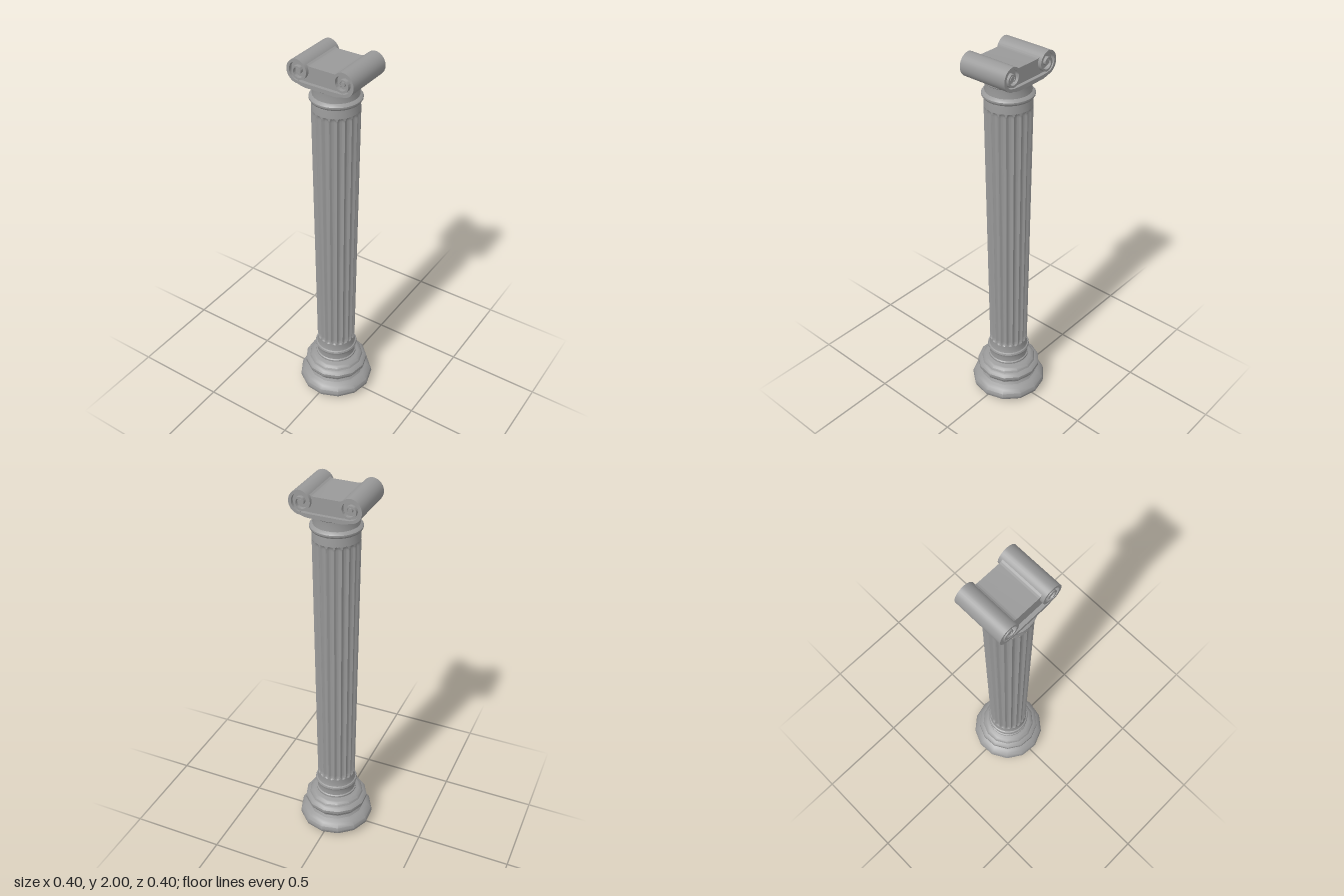
import * as THREE from 'three';
import { toCreasedNormals } from 'three/addons/utils/BufferGeometryUtils.js';

const material = new THREE.MeshStandardMaterial({ color: 0x999999 });

function addMesh(group, name, geometry, crease = 0.6) {
  const mesh = new THREE.Mesh(toCreasedNormals(geometry, crease), material);
  mesh.name = name;
  group.add(mesh);
  return mesh;
}

// Profile is a list of [radius, height], bottom to top
const lathe = (profile, sides) =>
  new THREE.LatheGeometry(profile.map(([r, y]) => new THREE.Vector2(r, y)), sides, Math.PI);

const extrude = (shape, depth) => {
  const geometry = new THREE.ExtrudeGeometry(shape, { depth, bevelEnabled: false, curveSegments: 20 });
  return geometry.translate(0, 0, -depth / 2);
};

// Thirteen-sided base whose corners are spaced a little unevenly
function unevenBase(profile) {
  const geometry = lathe(profile, 13);
  const pos = geometry.attributes.position;
  for (let i = 0; i < pos.count; i++) {
    const x = pos.getX(i), z = pos.getZ(i), r = Math.hypot(x, z);
    let angle = Math.atan2(x, -z);
    if (angle < 0) angle += 2 * Math.PI;
    angle += 0.087 * Math.sin(angle / 2);
    pos.setXYZ(i, r * Math.sin(angle), pos.getY(i), -r * Math.cos(angle));
  }
  return geometry;
}

// Shaft with rounded-end flutes, widening slightly toward the top
function flutedShaft() {
  const bottom = 0.33, top = 1.742, flutes = 20, perFlute = 8, arch = 0.022;
  const ends = [0, 0.003, 0.006, 0.012, 0.018, 0.026];
  const heights = [
    ...ends.map((d) => bottom + d), 0.7, 1.05, 1.4,
    ...ends.map((d) => top - d).reverse(),
  ];
  const radiusAt = (y) => 0.102 + 0.014 * (y - bottom) / (top - bottom);
  const geometry = lathe(heights.map((y) => [radiusAt(y), y]), flutes * perFlute);
  const pos = geometry.attributes.position;
  for (let i = 0; i < pos.count; i++) {
    const x = pos.getX(i), y = pos.getY(i), z = pos.getZ(i);
    const turn = (Math.atan2(x, z) / (2 * Math.PI) + 1) * flutes;
    const across = Math.abs((turn % 1) - 0.5) / 0.4;
    const along = Math.max(0, 1 - Math.min(y - bottom, top - y) / arch);
    const hollow = Math.sqrt(Math.max(0, 1 - across * across - along * along));
    const scale = 1 - 0.01 * hollow / radiusAt(y);
    pos.setXYZ(i, x * scale, y, z * scale);
  }
  return geometry;
}

const SCROLL = { x: 0.118, y: 1.941, r: 0.059 };

// Solid block of the capital, with a shallow dip between the scrolls
function capitalCore() {
  const { x, y } = SCROLL, r = 0.053;
  const shape = new THREE.Shape();
  shape.moveTo(-0.07, 1.878);
  shape.lineTo(0.07, 1.878);
  shape.lineTo(x, y - r);
  shape.absarc(x, y, r, -Math.PI / 2, Math.PI / 2, false);
  shape.bezierCurveTo(0.085, y + r, 0.085, 1.97, 0.06, 1.97);
  shape.lineTo(-0.06, 1.97);
  shape.bezierCurveTo(-0.085, 1.97, -0.085, y + r, -x, y + r);
  shape.absarc(-x, y, r, Math.PI / 2, Math.PI * 1.5, false);
  return shape;
}

// Raised band that curls inward, from the bottom of the scroll to its eye
function spiralBand(side) {
  const outer = [], inner = [], steps = 64, turns = 1.9;
  for (let i = 0; i <= steps; i++) {
    const t = i / steps;
    const angle = -Math.PI / 2 + t * turns * 2 * Math.PI;
    const past = Math.max(0, t * turns - 0.5) / (turns - 0.5);
    const r = SCROLL.r - 0.045 * Math.pow(past, 0.8);
    const width = 0.015 - 0.009 * t;
    const point = (d) => new THREE.Vector2(
      side * (SCROLL.x + d * Math.cos(angle)), SCROLL.y + d * Math.sin(angle));
    outer.push(point(r));
    inner.push(point(r - width));
  }
  return new THREE.Shape([...outer, ...inner.reverse()]);
}

// Raised lip joining the two scrolls underneath
function lowerLip() {
  const { x, y, r } = SCROLL;
  const shape = new THREE.Shape();
  shape.moveTo(-x, y - r);
  shape.quadraticCurveTo(-0.095, 1.873, -0.07, 1.873);
  shape.lineTo(0.07, 1.873);
  shape.quadraticCurveTo(0.095, 1.873, x, y - r);
  shape.lineTo(x, y - r + 0.013);
  shape.lineTo(0.07, 1.893);
  shape.lineTo(-0.07, 1.893);
  shape.lineTo(-x, y - r + 0.013);
  return shape;
}

export function createModel() {
  const column = new THREE.Group();
  column.name = 'column';

  // Moulded base with two rounded rings
  addMesh(column, 'base', unevenBase([
    [0, 0], [0.165, 0], [0.167, 0.01], [0.185, 0.014], [0.198, 0.028], [0.202, 0.045],
    [0.197, 0.063], [0.182, 0.079], [0.168, 0.087], [0.153, 0.094], [0.145, 0.108],
    [0.148, 0.122], [0.162, 0.13], [0.171, 0.145], [0.17, 0.16], [0.16, 0.172],
    [0.148, 0.177], [0.143, 0.188], [0.132, 0.196], [0.125, 0.2], [0, 0.2],
  ]));

  // Collar between base and shaft
  addMesh(column, 'lowerCollar', lathe([
    [0, 0.212], [0.11, 0.212], [0.11, 0.222], [0.104, 0.226], [0.102, 0.245],
    [0.105, 0.264], [0.111, 0.267], [0.114, 0.276], [0.111, 0.285], [0.105, 0.288],
    [0.102, 0.3], [0.102, 0.331], [0, 0.331],
  ], 26));

  addMesh(column, 'flutedShaft', flutedShaft(), 0.5);

  // Collar and neck under the capital
  addMesh(column, 'upperCollar', lathe([
    [0, 1.741], [0.116, 1.741], [0.114, 1.765], [0.112, 1.782], [0.12, 1.786],
    [0.126, 1.795], [0.126, 1.803], [0.119, 1.811], [0.111, 1.815], [0.109, 1.84],
    [0.11, 1.858], [0.114, 1.862], [0.114, 1.88], [0, 1.88],
  ], 26));

  // Capital with a scroll at each side
  const capital = new THREE.Group();
  capital.name = 'capital';
  column.add(capital);
  addMesh(capital, 'capitalCore', extrude(capitalCore(), 0.226));
  addMesh(capital, 'lowerLip', extrude(lowerLip(), 0.263));
  for (const side of [-1, 1]) {
    const prefix = side > 0 ? 'left' : 'right';
    addMesh(capital, prefix + 'Scroll', extrude(spiralBand(side), 0.263));
    const eye = new THREE.CylinderGeometry(0.012, 0.012, 0.256, 16).rotateX(Math.PI / 2);
    addMesh(capital, prefix + 'ScrollEye', eye.translate(side * SCROLL.x, SCROLL.y, 0));
  }
  return column;
}
